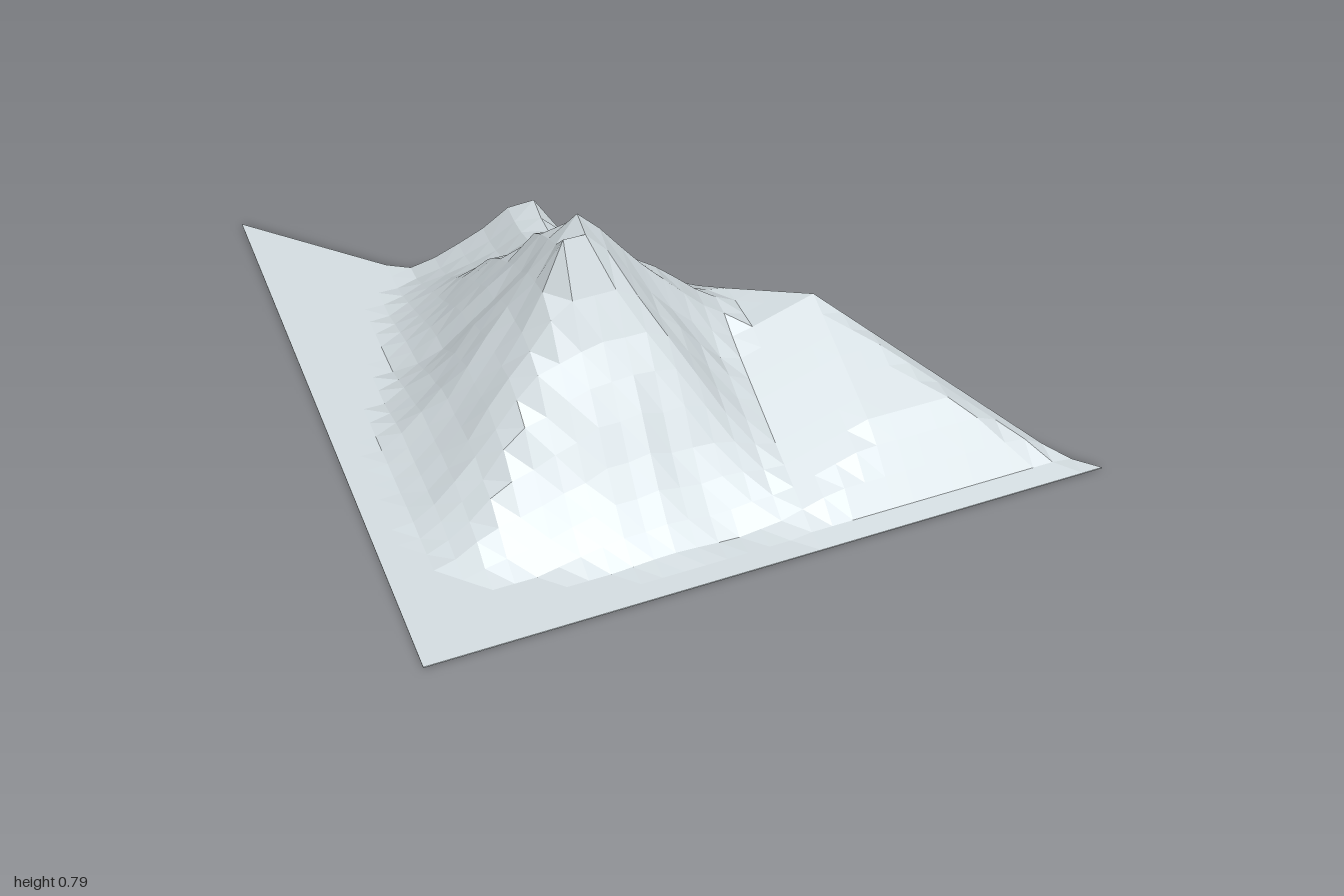
import * as THREE from 'three';

const N = 32;                       // grid cells along each straight side
const PEAK = [-0.3125, 0.3125], TOP = 0.785;
const FLOOR = 0.004;                // thickness of the flat ground

// Slope of the mountain from summit (0) to rim (1)
const PROFILE = [[0, 1], [0.1, 0.91], [0.2, 0.79], [0.31, 0.64], [0.43, 0.51], [0.55, 0.38],
  [0.7, 0.21], [0.86, 0.08], [1, 0]];

// Rim of the mountain, walked around the summit: x, z, height, sag of the flank above
const RIM = [
  [-0.25, -0.25, 0.42, 0.4], [-0.19, -0.19, 0.33, 0], [-0.15, -0.15, 0.325, -0.1],
  [-0.06, -0.06, 0.28, 0.12], [0, 0, 0.235, 0.1], [0.125, 0.125, 0.265, 0.1],
  [0.22, 0.22, 0.275, 0.07], [0.2, 0.3, 0.275, 0.05], [0.14, 0.45, 0.2, 0],
  [0.125, 0.65, 0.14, 0], [0.1, 0.84, 0.04, 0], [-0.05, 0.87, 0, 0],
  [-0.2, 0.89, 0, 0], [-0.4, 0.88, 0, 0], [-0.6, 0.82, 0, 0], [-0.82, 0.75, 0, 0],
  [-0.88, 0.58, 0, 0.04], [-0.88, 0.35, 0, 0.08], [-0.87, 0.13, 0, 0.04], [-0.81, 0, 0, 0],
  [-0.75, -0.14, 0, 0], [-0.69, -0.4, 0, 0], [-0.56, -0.56, 0, 0], [-0.5, -0.5, 0.09, 0.1],
  [-0.44, -0.44, 0.17, 0.2], [-0.31, -0.31, 0.37, 0.4],
].map(([x, z, base, sag]) => ({
  angle: Math.atan2(z - PEAK[1], x - PEAK[0]),
  values: [Math.hypot(x - PEAK[0], z - PEAK[1]), base, sag],
})).sort((a, b) => a.angle - b.angle);

function lerpTable(table, t) {
  const i = Math.max(1, table.findIndex(([end]) => t <= end));
  const [t0, v0] = table[i - 1], [t1, v1] = table[i];
  return v0 + (v1 - v0) * (t - t0) / (t1 - t0);
}

// Radius, height and sag of the rim in any direction
function rimAt(angle) {
  const n = RIM.length, turn = Math.PI * 2;
  const k = Math.max(0, RIM.findIndex((r) => r.angle > angle));
  const a = RIM[(k + n - 1) % n], b = RIM[k];
  const s = ((angle - a.angle + turn) % turn) / ((b.angle - a.angle + turn) % turn);
  return a.values.map((v, i) => v + (b.values[i] - v) * s);
}

// Main mountain with lightly fluted flanks and a short summit shoulder
function mountain(x, z) {
  const dx = x - PEAK[0], dz = z - PEAK[1];
  const angle = Math.atan2(dz, dx);
  const [radius, base, sag] = rimAt(angle);
  const f = Math.hypot(dx, dz) / radius;
  if (f > 1.03) return 0;
  const t = Math.min(f, 1);
  const bend = t * (1 - t) * (0.03 * Math.sin(angle * 19) - sag);
  const shoulder = 0.76 - 2.6 * Math.hypot(Math.max(0, Math.abs(x + 0.344) - 0.032), z - 0.375);
  return Math.max(base + (TOP - base) * lerpTable(PROFILE, t) + bend, shoulder);
}

// Lower side hill with a steep front foot
function hill(x, z) {
  const back = 0.35 - 0.44 * Math.max(0, z - 0.375) - 0.35 * Math.max(0, 0.375 - x);
  const side = 0.35 - 0.64 * (x - 0.375);
  return Math.min(back, side, 1.02 * (0.95 - z));
}

function height(i, j) {
  const x = -1 + 2 * i / N, z = -1 + 2 * j / N;
  return Math.max(FLOOR, mountain(x, z), hill(x, z));
}

function point(i, j, y = height(i, j)) {
  return [-1 + 2 * i / N, y, -1 + 2 * j / N];
}

function makeMesh(name, triangles, material) {
  const geometry = new THREE.BufferGeometry();
  geometry.setAttribute('position', new THREE.Float32BufferAttribute(triangles.flat(), 3));
  geometry.computeVertexNormals();   // unshared corners give flat facets
  const mesh = new THREE.Mesh(geometry, material);
  mesh.name = name;
  return mesh;
}

// Upright wall from the base to the terrain, along one edge of the grid
function makeWall(name, cell, material) {
  const triangles = [];
  for (let k = 0; k < N; k++) {
    const a = cell(k), b = cell(k + 1);
    triangles.push(point(...a, 0), point(...a), point(...b, 0));
    triangles.push(point(...a), point(...b), point(...b, 0));
  }
  return makeMesh(name, triangles, material);
}

export function createModel() {
  const group = new THREE.Group();
  group.name = 'mountainTerrain';
  const stone = new THREE.MeshStandardMaterial({ color: 0xd3dce0 });
  stone.name = 'pale grey stone';

  // Terrain surface over the triangular half of the grid
  const surface = [];
  for (let j = 0; j < N; j++) {
    for (let i = 0; i <= j; i++) {
      surface.push(point(i, j), point(i, j + 1), point(i + 1, j + 1));
      if (i < j) surface.push(point(i, j), point(i + 1, j + 1), point(i + 1, j));
    }
  }
  group.add(makeMesh('terrainSurface', surface, stone));

  // Walls around the outline
  group.add(makeWall('diagonalCutWall', (k) => [k, k], stone));
  group.add(makeWall('frontEdge', (k) => [N - k, N], stone));
  group.add(makeWall('sideEdge', (k) => [0, N - k], stone));

  // Underside
  group.add(makeMesh('baseUnderside', [point(0, 0, 0), point(N, N, 0), point(0, N, 0)], stone));
  return group;
}
